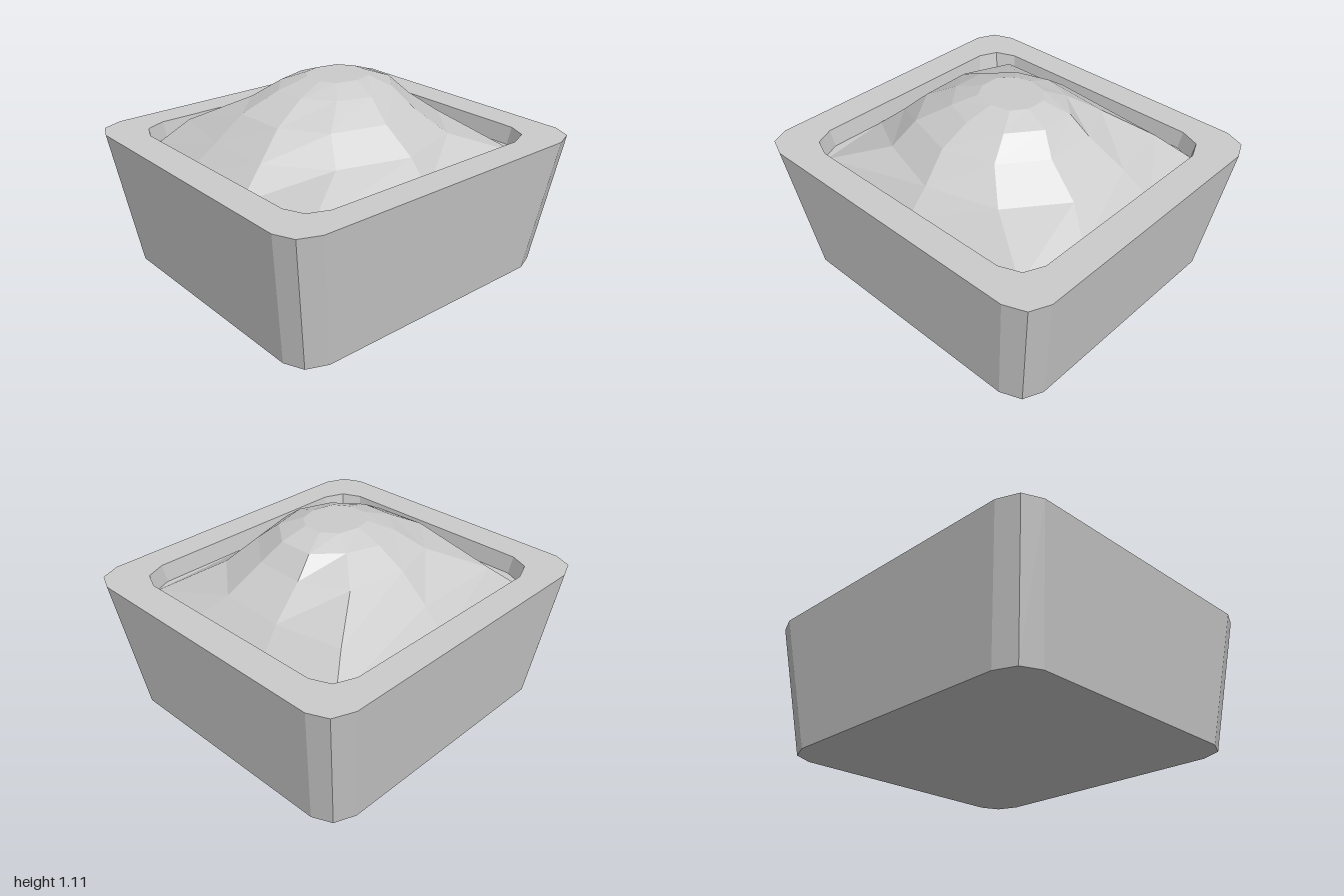
import * as THREE from 'three';

// Skin a list of equal-length rings of [x, y, z], with optional flat end caps
function loft(rings, capStart, capEnd) {
  const pos = [];
  const tri = (a, b, c) => pos.push(...a, ...b, ...c);
  const n = rings[0].length;
  for (let r = 0; r < rings.length - 1; r++) {
    for (let i = 0; i < n; i++) {
      const j = (i + 1) % n, lo = rings[r], up = rings[r + 1];
      tri(lo[i], up[i], lo[j]);
      tri(lo[j], up[i], up[j]);
    }
  }
  const first = rings[0], last = rings[rings.length - 1];
  for (let i = 1; i < n - 1; i++) {
    if (capStart) tri(first[0], first[i], first[i + 1]);
    if (capEnd) tri(last[0], last[i + 1], last[i]);
  }
  const g = new THREE.BufferGeometry();
  g.setAttribute('position', new THREE.Float32BufferAttribute(pos, 3));
  g.computeVertexNormals();
  return g;
}

// Rectangle with three-point bevelled corners, running from +x towards +z
function roundedRing(hx, hz, y) {
  const corner = [[hx, hz - 0.155], [hx - 0.048, hz - 0.047], [hx - 0.165, hz]];
  const back = [...corner].reverse();
  return [
    ...corner,
    ...back.map(([x, z]) => [-x, z]),
    ...corner.map(([x, z]) => [-x, -z]),
    ...back.map(([x, z]) => [x, -z]),
  ].map(([x, z]) => [x, y, z]);
}

export function createModel() {
  const group = new THREE.Group();
  const add = (name, geometry) => {
    const mesh = new THREE.Mesh(geometry,
      new THREE.MeshStandardMaterial({ color: 0xcccccc, flatShading: true }));
    mesh.name = name;
    group.add(mesh);
  };

  // Tapered planter with a wide flat rim and a shallow recess
  add('planterBox', loft([
    roundedRing(0.885, 0.825, 0),
    roundedRing(1, 0.925, 0.775),
    roundedRing(0.815, 0.757, 0.775),
    roundedRing(0.8, 0.742, 0.67),
  ], true, true));

  // Uneven ten-sided mound, from the recess edge up to the flat crown
  const levels = [
    [0.672, [[0.8, 0.3], [0.74, 0.7], [0, 0.74], [-0.73, 0.7], [-0.8, 0.25],
      [-0.8, -0.24], [-0.72, -0.71], [0, -0.74], [0.75, -0.71], [0.8, -0.25]]],
    [0.81, [[0.635, 0.19], [0.4, 0.49], [0, 0.61], [-0.4, 0.49], [-0.64, 0.19],
      [-0.65, -0.2], [-0.56, -0.61], [0, -0.62], [0.58, -0.58], [0.65, -0.2]]],
    [0.95, [[0.44, 0.14], [0.26, 0.37], [-0.03, 0.455], [-0.33, 0.37], [-0.49, 0.14],
      [-0.5, -0.16], [-0.28, -0.38], [0, -0.46], [0.33, -0.4], [0.45, -0.15]]],
    [1.055, [[0.34, 0.08], [0.21, 0.25], [0, 0.305], [-0.18, 0.24], [-0.3, 0.09],
      [-0.3, -0.1], [-0.17, -0.25], [0.02, -0.31], [0.2, -0.25], [0.34, -0.12]]],
    [1.107, [[0.2, 0.05], [0.14, 0.13], [0.03, 0.16], [-0.09, 0.13], [-0.14, 0.05],
      [-0.14, -0.06], [-0.07, -0.14], [0.02, -0.165], [0.14, -0.14], [0.2, -0.06]]],
  ];
  add('soilMound', loft(
    levels.map(([y, ring]) => ring.map(([x, z]) => [x, y, z])), false, true));

  return group;
}
